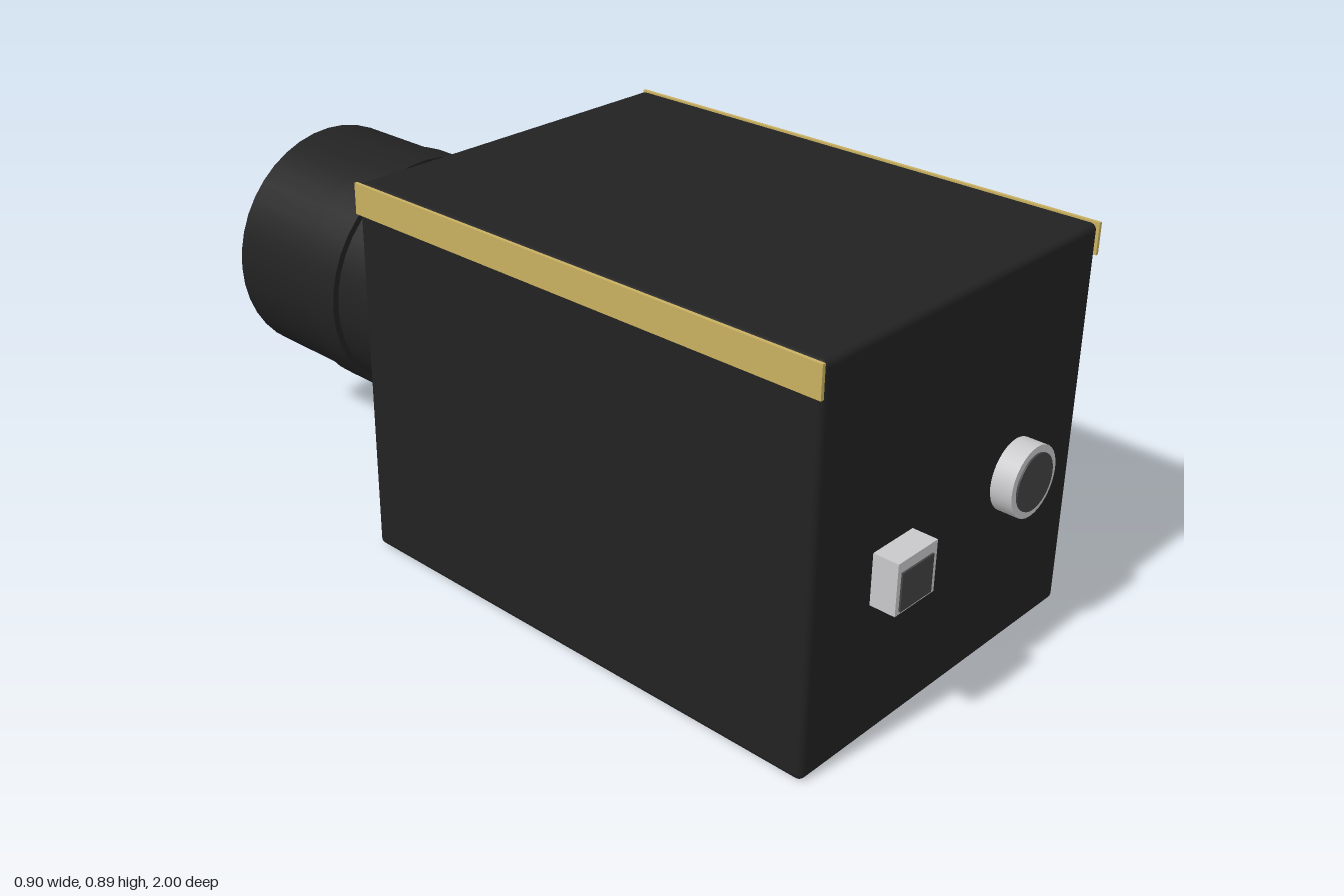
import * as THREE from 'three';
import { RoundedBoxGeometry } from 'three/addons/geometries/RoundedBoxGeometry.js';

const mat = (name, color, flatShading = false) => {
  const m = new THREE.MeshStandardMaterial({ color, flatShading });
  m.name = name;
  return m;
};

export function createModel() {
  const black = mat('black', 0x222222);
  const silver = mat('silver', 0xc8c8ca);
  const gold = mat('gold', 0xc8b060);
  const grey = mat('darkGrey', 0x424242);
  const model = new THREE.Group();
  model.name = 'boxCamera';
  const axisY = 0.447;

  const add = (name, geometry, material, x, y, z, parent = model) => {
    const mesh = new THREE.Mesh(geometry, material);
    mesh.name = name;
    mesh.position.set(x, y, z);
    parent.add(mesh);
    return mesh;
  };
  // Cylinder along z between two depths
  const disc = (name, r, z0, z1, material, x, y, parent, sides = 32) => {
    const g = new THREE.CylinderGeometry(r, r, Math.abs(z1 - z0), sides).rotateX(Math.PI / 2);
    return add(name, g, material, x, y, (z0 + z1) / 2, parent);
  };
  // Box given by its extents
  const box = (name, x0, x1, y0, y1, z0, z1, material, parent) =>
    add(name, new THREE.BoxGeometry(x1 - x0, y1 - y0, z1 - z0), material,
      (x0 + x1) / 2, (y0 + y1) / 2, (z0 + z1) / 2, parent);

  // Housing with a trim strip along each upper side edge
  add('housing', new RoundedBoxGeometry(0.886, 0.886, 1.24, 3, 0.015), black, 0, axisY, 0.318);
  box('leftTrim', 0.441, 0.449, 0.82, 0.89, -0.304, 0.94, gold);
  box('rightTrim', -0.449, -0.441, 0.82, 0.89, -0.304, 0.94, gold);

  // Lens, stepped barrel pointing to the back
  const lens = new THREE.Group();
  lens.name = 'lens';
  model.add(lens);
  disc('mountRing', 0.32, -0.30, -0.395, silver, 0, axisY, lens);
  disc('innerBarrel', 0.285, -0.39, -0.612, black, 0, axisY, lens, 40);
  disc('focusBand', 0.30, -0.61, -0.715, black, 0, axisY, lens, 40);
  disc('outerBarrel', 0.294, -0.71, -0.982, black, 0, axisY, lens, 40);
  disc('frontGlass', 0.248, -0.98, -1.0, silver, 0, axisY, lens, 40);

  // Corner screws on the back plate, set screws around the mount ring
  for (const sx of [-1, 1]) for (const sy of [-1, 1]) {
    disc('cornerScrew', 0.027, -0.295, -0.324, silver, sx * 0.357, axisY + sy * 0.357, model, 16);
    const screw = add('setScrew', new THREE.BoxGeometry(0.04, 0.028, 0.027), silver,
      sx * 0.25, axisY + sy * 0.196, -0.365, lens);
    screw.rotation.z = Math.atan2(sy * 0.196, sx * 0.25);
  }

  // Sockets on the front
  box('squareSocket', -0.258, -0.134, 0.318, 0.433, 0.93, 0.996, silver);
  box('squareSocketFace', -0.247, -0.148, 0.325, 0.41, 0.994, 1.0, grey);
  disc('roundSocket', 0.08, 0.93, 0.988, silver, 0.212, 0.411, model);
  disc('roundSocketFace', 0.064, 0.986, 0.992, grey, 0.212, 0.411, model);

  return model;
}
